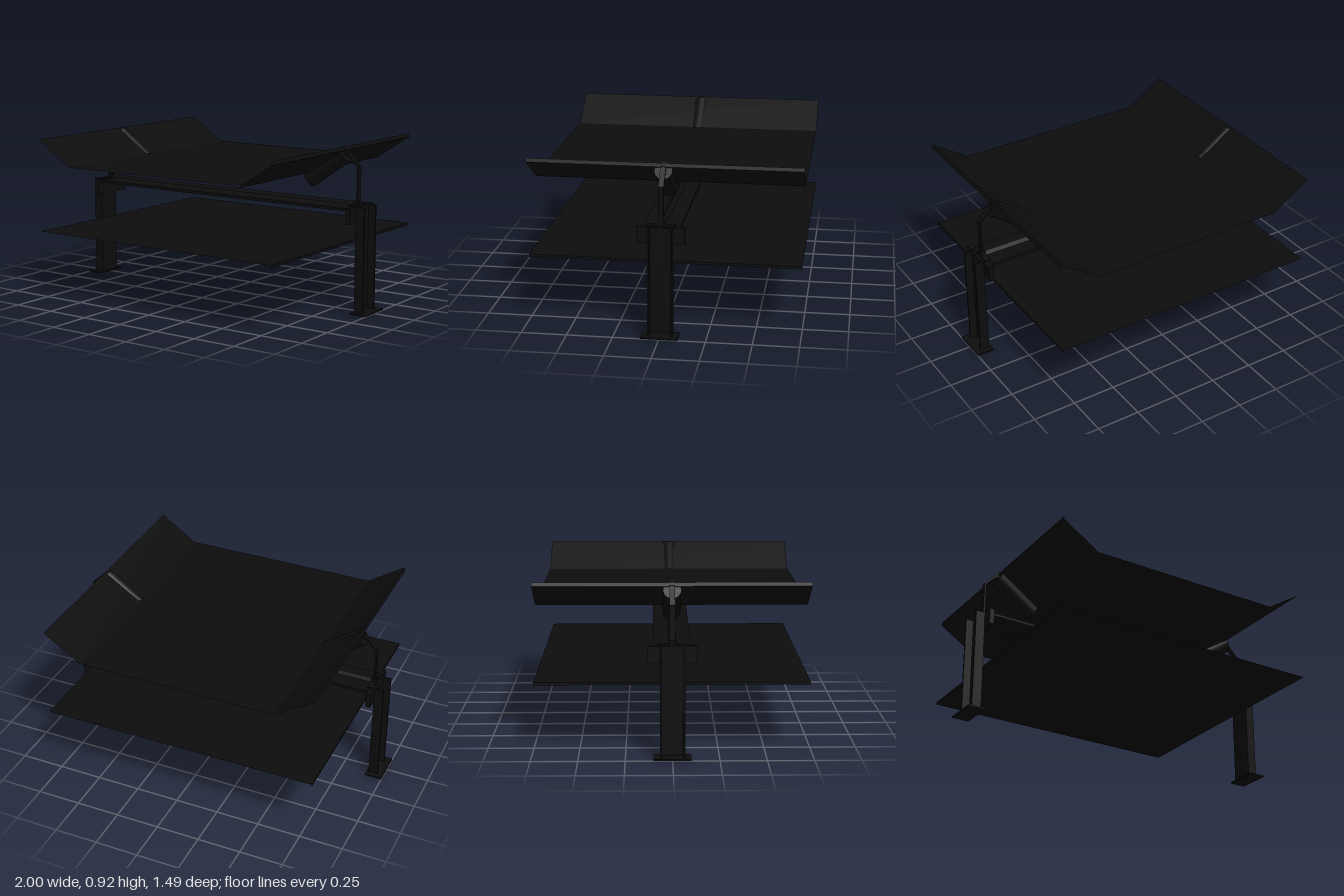
import * as THREE from 'three';

const black = new THREE.MeshStandardMaterial({ color: 0x0d0d0d });

function add(parent, name, geometry, x = 0, y = 0, z = 0) {
  const mesh = new THREE.Mesh(geometry, black);
  mesh.name = name;
  mesh.position.set(x, y, z);
  parent.add(mesh);
  return mesh;
}

const box = (w, h, d) => new THREE.BoxGeometry(w, h, d);

// Extrudes a closed outline along z, centred on z = 0
function extrude(points, depth) {
  const shape = new THREE.Shape(points.map(p => new THREE.Vector2(p[0], p[1])));
  const geometry = new THREE.ExtrudeGeometry(shape, { depth, bevelEnabled: false });
  return geometry.translate(0, 0, -depth / 2);
}

// The same, but keeping only the walls so both ends stay open
function openSleeve(points, depth) {
  const full = extrude(points, depth);
  const walls = full.groups[1];
  const position = full.getAttribute('position').array.slice(walls.start * 3, (walls.start + walls.count) * 3);
  const geometry = new THREE.BufferGeometry();
  geometry.setAttribute('position', new THREE.BufferAttribute(position, 3));
  geometry.computeVertexNormals();
  return geometry;
}

// Leg, end bracket, roller and roller arm for one side (side = +1 or -1)
function makeSide(side) {
  const group = new THREE.Group();
  group.name = side > 0 ? 'leftSupport' : 'rightSupport';

  add(group, 'basePlate', box(0.1, 0.008, 0.2), 0.95, 0.004, 0);

  // Channel leg, open towards the outside
  const channel = [
    [0.91, -0.067], [0.965, -0.067], [0.965, -0.057], [0.92, -0.057],
    [0.92, 0.057], [0.965, 0.057], [0.965, 0.067], [0.91, 0.067]
  ];
  const leg = extrude(channel, 0.592).rotateX(-Math.PI / 2);
  add(group, 'leg', leg, 0, 0.304, 0);
  add(group, 'endBracket', box(0.028, 0.09, 0.26), 0.898, 0.555, 0);
  add(group, 'armFoot', box(0.034, 0.008, 0.15), 0.887, 0.604, 0);
  add(group, 'armFootBlock', box(0.03, 0.018, 0.03), 0.885, 0.617, 0);

  // Bent flat bar that carries the outer roller end
  const bar = [
    [0.895, 0.605], [0.895, 0.817], [0.815, 0.9], [0.8, 0.905],
    [0.802, 0.893], [0.81, 0.89], [0.885, 0.813], [0.885, 0.605]
  ];
  add(group, 'rollerArm', extrude(bar, 0.03));

  // Tilted roller with a short shaft
  const axis = new THREE.Vector3(0.23, 0.16, 0);
  const tilt = new THREE.Quaternion().setFromUnitVectors(new THREE.Vector3(0, 1, 0), axis.clone().normalize());
  const roller = add(group, 'roller', new THREE.CylinderGeometry(0.049, 0.049, axis.length(), 32), 0.69, 0.8, 0);
  const shaft = add(group, 'rollerShaft', new THREE.CylinderGeometry(0.015, 0.015, axis.length() + 0.03, 16), 0.695, 0.8035, 0);
  roller.quaternion.copy(tilt);
  shaft.quaternion.copy(tilt);

  // Turn the whole side around for the opposite end
  if (side < 0) group.rotation.y = Math.PI;
  return group;
}

export function createModel() {
  const model = new THREE.Group();
  model.name = 'troughConveyorFrame';

  for (const side of [1, -1]) model.add(makeSide(side));

  // Troughed carrying belt and flat return belt
  const trough = [
    [-0.585, 0.76], [0.585, 0.76], [0.805, 0.9], [0.797, 0.92],
    [0.58, 0.775], [-0.58, 0.775], [-0.797, 0.92], [-0.805, 0.9]
  ];
  add(model, 'carryingBelt', openSleeve(trough, 1.486));
  const flat = [[-0.805, 0.365], [0.805, 0.365], [0.805, 0.38], [-0.805, 0.38]];
  add(model, 'returnBelt', openSleeve(flat, 1.486));

  // Cross beam: flat plate with a ridge-shaped angle bar above it
  add(model, 'crossPlate', box(1.79, 0.016, 0.2), 0, 0.586, 0);
  const ridge = [[-0.022, 0.604], [-0.015, 0.604], [0, 0.615], [0.015, 0.604], [0.022, 0.604], [0, 0.621]];
  add(model, 'ridgeBar', extrude(ridge, 1.79).rotateY(Math.PI / 2));

  return model;
}
